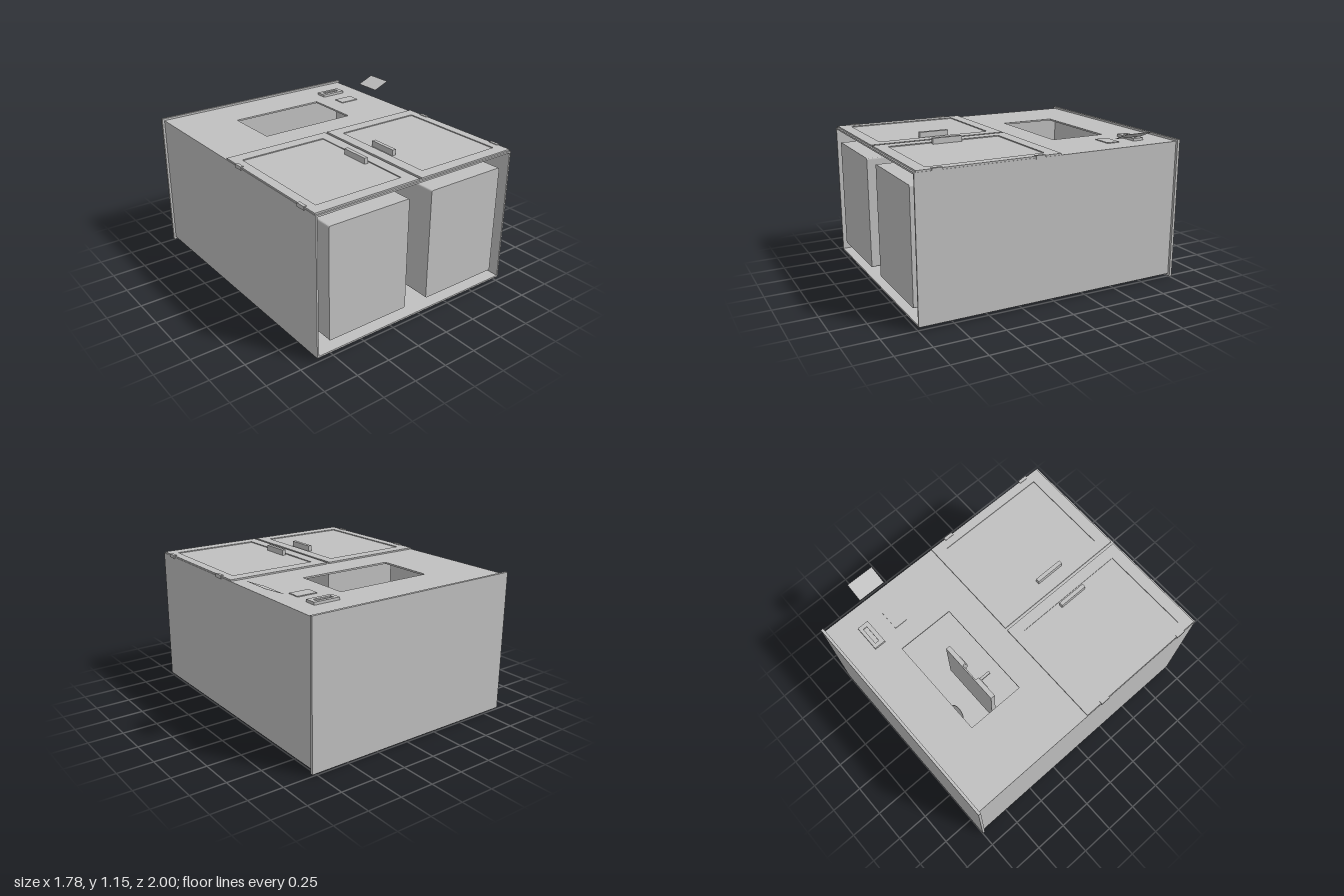
import * as THREE from 'three';

export function createModel() {
  const model = new THREE.Group();
  const grey = new THREE.MeshStandardMaterial({ color: 0xc0c0c0 });
  grey.name = 'cabinetGrey';
  grey.side = THREE.DoubleSide;
  const mid = -0.053; // cabinet centre line

  const add = (name, geometry) => {
    const mesh = new THREE.Mesh(geometry, grey);
    mesh.name = name;
    model.add(mesh);
    return mesh;
  };
  // Box given by its two extreme corners
  const box = (name, x0, x1, y0, y1, z0, z1) => {
    const mesh = add(name, new THREE.BoxGeometry(x1 - x0, y1 - y0, z1 - z0));
    mesh.position.set((x0 + x1) / 2, (y0 + y1) / 2, (z0 + z1) / 2);
    return mesh;
  };
  const rect = (Type, x0, x1, y0, y1) => {
    const p = new Type();
    p.moveTo(x0, y0);
    p.lineTo(x1, y0);
    p.lineTo(x1, y1);
    p.lineTo(x0, y1);
    p.closePath();
    return p;
  };
  // Horizontal slab with a rectangular hole, each rectangle as [x0, x1, z0, z1]
  const holedSlab = (name, o, h, y0, y1) => {
    const shape = rect(THREE.Shape, o[0], o[1], -o[3], -o[2]);
    shape.holes.push(rect(THREE.Path, h[0], h[1], -h[3], -h[2]));
    const geometry = new THREE.ExtrudeGeometry(shape, { depth: y1 - y0, bevelEnabled: false });
    geometry.rotateX(-Math.PI / 2);
    add(name, geometry).position.y = y0;
  };

  // Cabinet shell, open at the front
  box('backPlate', -0.89, 0.785, 0.012, 1.045, -1, -0.98);
  box('floor', -0.873, 0.767, 0.03, 0.042, -0.98, 1);
  box('rightWall', -0.873, -0.861, 0.042, 1.018, -0.98, 1);
  box('leftWall', 0.755, 0.767, 0.042, 1.018, -0.98, 1);
  holedSlab('topPanel', [-0.873, 0.767, -0.98, 1], [-0.425, 0.315, -0.66, -0.24], 1.018, 1.03);

  // Doors, handles, hinges and tanks on each side of the centre line
  for (const s of [-1, 1]) {
    const side = s < 0 ? 'right' : 'left';
    const span = (a, b) => [mid + s * a, mid + s * b].sort((p, q) => p - q);
    const [d0, d1] = span(0.01, 0.817);
    const [r0, r1] = span(0.09, 0.75);
    holedSlab(side + 'DoorFrame', [d0, d1, -0.03, 0.987], [r0, r1, 0.06, 0.9], 1.03, 1.041);
    box(side + 'DoorPanel', r0, r1, 1.03, 1.034, 0.06, 0.9);
    const [h0, h1] = span(0.107, 0.135);
    box(side + 'Handle', h0, h1, 1.034, 1.076, 0.37, 0.588);
    const [g0, g1] = span(0.803, 0.826);
    for (const z of [0.095, 0.815]) box(side + 'Hinge', g0, g1, 1.02, 1.046, z, z + 0.07);

    // Tank with slightly rounded long edges
    const [t0, t1] = span(0.095, 0.723);
    const r = 0.012, y0 = 0.12, y1 = 0.93;
    const tank = new THREE.Shape();
    tank.moveTo(t0 + r, y0);
    tank.lineTo(t1 - r, y0);
    tank.quadraticCurveTo(t1, y0, t1, y0 + r);
    tank.lineTo(t1, y1 - r);
    tank.quadraticCurveTo(t1, y1, t1 - r, y1);
    tank.lineTo(t0 + r, y1);
    tank.quadraticCurveTo(t0, y1, t0, y1 - r);
    tank.lineTo(t0, y0 + r);
    tank.quadraticCurveTo(t0, y0, t0 + r, y0);
    const geometry = new THREE.ExtrudeGeometry(tank, { depth: 0.9, bevelEnabled: false, curveSegments: 4 });
    add(side + 'Tank', geometry).position.z = 0.095;

    // Inner plate with its two rails
    const [p0, p1] = span(0.072, 0.248);
    box(side + 'InnerPlate', p0, p1, 0.28, 0.78, -0.39, -0.355);
    const [b0, b1] = span(0.072, 0.15);
    for (const y of [0.325, 0.675]) box(side + 'Rail', b0, b1, y, y + 0.055, -0.355, -0.342);
  }

  // Dispenser between the inner plates
  box('innerBackPlate', mid - 0.072, mid + 0.072, 0.28, 0.78, -0.39, -0.38);
  box('dispenserBase', -0.1, -0.006, 0.28, 0.33, -0.38, -0.36);
  box('dispenserStem', -0.067, -0.039, 0.33, 0.4, -0.38, -0.36);
  box('dispenserHead', -0.076, -0.03, 0.4, 0.45, -0.38, -0.36);
  box('dispenserArm', -0.063, -0.043, 0.41, 0.43, -0.36, -0.2);

  // Tilted round socket that dips just below the floor
  const socket = new THREE.Group();
  socket.name = 'socket';
  socket.position.set(mid, 0.07, -0.548);
  socket.rotation.x = Math.PI / 2 - 1.2 + 0.005;
  const disc = new THREE.Mesh(new THREE.CylinderGeometry(0.073, 0.073, 0.004, 32), grey);
  disc.name = 'socketDisc';
  disc.rotation.x = Math.PI / 2;
  socket.add(disc);
  for (const x of [-0.033, 0.033]) {
    const knob = new THREE.Mesh(new THREE.CylinderGeometry(0.018, 0.018, 0.02, 16), grey);
    knob.name = 'socketKnob';
    knob.rotation.x = Math.PI / 2;
    knob.position.set(x, 0, 0.01);
    socket.add(knob);
  }
  model.add(socket);
  box('socketBracket', -0.108, 0.003, 0.042, 0.13, -0.595, -0.572);

  // Card reader with a shallow slot, keypad plate and tilted card
  holedSlab('readerFrame', [0.43, 0.625, -0.8, -0.715], [0.46, 0.595, -0.775, -0.745], 1.03, 1.049);
  box('readerSlot', 0.46, 0.595, 1.03, 1.04, -0.775, -0.745);
  box('keypadPlate', 0.46, 0.61, 1.03, 1.036, -0.6, -0.505);
  const card = box('card', 0.755, 0.892, 1.119, 1.121, -0.667, -0.456);
  card.rotation.z = Math.atan2(0.052, 0.126);

  return model;
}
